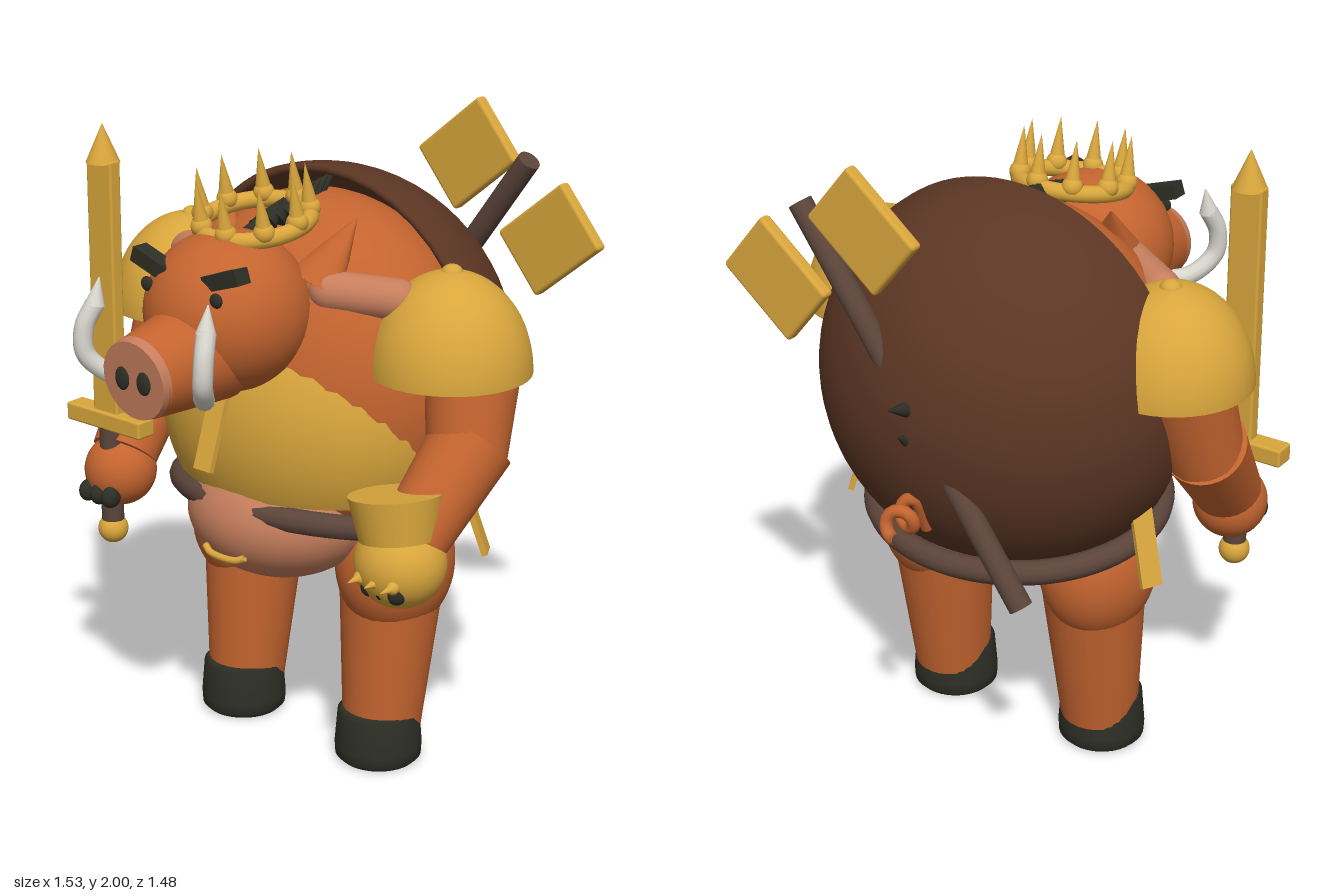
import * as THREE from 'three';
import { RoundedBoxGeometry } from 'three/addons/geometries/RoundedBoxGeometry.js';

const mat = (name, color, side = THREE.FrontSide) => {
  const m = new THREE.MeshStandardMaterial({ color, side });
  m.name = name;
  return m;
};
const V = (x, y, z) => new THREE.Vector3(x, y, z);
const UP = V(0, 1, 0);

export function createModel() {
  const skin = mat('rust skin', 0xc4642f);
  const pink = mat('pink skin', 0xc67e5d);
  const gold = mat('gold', 0xd9a63c, THREE.DoubleSide);
  const hide = mat('dark brown shell', 0x5c3624, THREE.DoubleSide);
  const leather = mat('leather and wood', 0x5b443a);
  const dark = mat('charcoal', 0x2d2e25);
  const ivory = mat('ivory', 0xd8d6cd);
  const model = new THREE.Group();
  model.name = 'boarWarrior';

  const add = (name, geo, material, pos = [0, 0, 0], rot = [0, 0, 0]) => {
    const mesh = new THREE.Mesh(geo, material);
    mesh.name = name;
    mesh.position.set(...pos);
    mesh.rotation.set(...rot);
    model.add(mesh);
    return mesh;
  };
  const ball = (name, material, pos, rx, ry = rx, rz = rx, ...arc) =>
    add(name, new THREE.SphereGeometry(1, 40, 28, ...arc).scale(rx, ry, rz), material, pos);
  // tapered round bar between two points
  const limb = (name, material, a, b, ra, rb, flat = 1) => {
    const p = V(...a), q = V(...b), d = q.clone().sub(p);
    const geo = new THREE.CylinderGeometry(rb, ra, d.length(), 28).scale(1, 1, flat);
    const mesh = add(name, geo, material, p.clone().add(q).multiplyScalar(0.5).toArray());
    mesh.quaternion.setFromUnitVectors(UP, d.normalize());
    return mesh;
  };
  const tube = (name, material, pts, r, closed = false) =>
    add(name, new THREE.TubeGeometry(new THREE.CatmullRomCurve3(pts, closed), closed ? 80 : 32, r, 12, closed), material);

  // torso, chest plate, belly and back shell
  ball('torso', skin, [0, 1.22, -0.08], 0.53, 0.55, 0.42);
  ball('chestPlate', gold, [0, 1.13, -0.04], 0.5, 0.5, 0.415, 0, Math.PI * 2, 0, 2.03);
  ball('belly', pink, [0, 0.81, 0.1], 0.3, 0.21, 0.28);
  // phi from PI to 2PI covers the rear half
  ball('backShell', hide, [0, 1.24, -0.11], 0.6, 0.6, 0.54, Math.PI, Math.PI, 0, 2.44);
  const rim = [];
  for (let i = 0; i <= 20; i++) {
    const a = -0.87 + (i / 20) * (Math.PI + 1.74);
    rim.push(V(Math.cos(a) * 0.585, 1.24 + Math.sin(a) * 0.585, -0.115));
  }
  tube('shellRim', hide, rim, 0.015);
  tube('bellyRing', gold, [V(-0.08, 0.735, 0.36), V(-0.05, 0.722, 0.37), V(0.05, 0.722, 0.37), V(0.08, 0.735, 0.36)], 0.011);

  // tilted belt and three hanging straps
  const belt = [];
  for (let i = 0; i < 24; i++) {
    const a = (i / 24) * Math.PI * 2;
    belt.push(V(Math.cos(a) * 0.46, 0.81 + Math.sin(a) * 0.06, -0.08 + Math.sin(a) * 0.4));
  }
  tube('belt', leather, belt, 0.038, true);
  for (const [name, angle, y, r] of [['front', 0, 1.21, 0.385], ['left', 2.09, 0.9, 0.58], ['right', -2.09, 0.9, 0.58]]) {
    const holder = new THREE.Group();
    holder.name = name + 'Strap';
    holder.rotation.y = angle;
    const strap = add('strapPlate', new THREE.BoxGeometry(0.066, 0.4, 0.018), gold, [0, y, r], [-0.33, 0, 0]);
    holder.add(strap);
    model.add(holder);
    if (angle) holder.position.z = 0.12;
  }

  for (const s of [1, -1]) {
    const side = s > 0 ? 'left' : 'right';
    // leg
    ball(side + 'Thigh', skin, [s * 0.3, 0.65, -0.085], 0.175, 0.23, 0.2);
    limb(side + 'Shin', skin, [s * 0.285, 0.1, -0.045], [s * 0.285, 0.62, -0.09], 0.122, 0.165);
    const hoof = [[0, 0], [0.12, 0], [0.135, 0.015], [0.137, 0.05], [0.128, 0.16], [0.115, 0.172], [0, 0.172]];
    add(side + 'Hoof', new THREE.LatheGeometry(hoof.map(p => new THREE.Vector2(...p)), 36), dark, [s * 0.285, 0, -0.03]);
    // shoulder and arm
    ball(side + 'Pauldron', gold, [s * 0.52, 1.32, -0.05], 0.243, 0.3, 0.245, 0, Math.PI * 2, 0, Math.PI / 2);
    ball(side + 'PauldronStud', gold, [s * 0.515, 1.61, -0.06], 0.033, 0.028, 0.033);
    limb(side + 'UpperArm', skin, [s * 0.57, 1.4, -0.1], [s * 0.62, 1.08, -0.01], 0.15, 0.118);
    ball(side + 'Elbow', skin, [s * 0.62, 1.1, -0.01], 0.118);
    limb(side + 'Forearm', skin, [s * 0.625, 1.13, -0.03], [s * 0.58, 0.87, 0.2], 0.128, 0.105);
    ball(side + 'Hand', skin, [s * 0.58, 0.82, 0.22], 0.115);
    for (const dx of [-0.05, 0, 0.05])
      ball(side + 'Claw', dark, [s * 0.58 + dx, 0.763, 0.315], 0.026, 0.036, 0.035);
    // head details
    const ear = limb(side + 'Ear', skin, [s * 0.19, 1.56, 0.17], [s * 0.245, 1.75, 0.045], 0.1, 0.002, 0.7);
    ear.name = side + 'PointedEar';
    const flap = add(side + 'EarFlap', new THREE.CapsuleGeometry(0.062, 0.2, 8, 24), pink, [s * 0.325, 1.545, 0.11]);
    flap.quaternion.setFromUnitVectors(UP, V(s * 0.22, -0.02, -0.13).normalize());
    add(side + 'Brow', new THREE.BoxGeometry(0.135, 0.046, 0.055), dark, [s * 0.14, 1.64, 0.495], [0, 0, s * 0.32]);
    ball(side + 'Eye', dark, [s * 0.135, 1.585, 0.53], 0.022, 0.022, 0.012);
    ball(side + 'Nostril', dark, [s * 0.042, 1.37, 0.732], 0.026, 0.035, 0.01);
    tube(side + 'Tusk', ivory, [V(s * 0.1, 1.31, 0.56), V(s * 0.18, 1.325, 0.63), V(s * 0.23, 1.39, 0.69),
      V(s * 0.235, 1.47, 0.69), V(s * 0.218, 1.54, 0.66)], 0.029);
    limb(side + 'TuskTip', ivory, [s * 0.218, 1.535, 0.662], [s * 0.213, 1.615, 0.645], 0.03, 0.002);
  }

  // head and snout
  ball('head', skin, [0, 1.49, 0.335], 0.247, 0.24, 0.25);
  limb('snout', skin, [0, 1.4, 0.42], [0, 1.37, 0.71], 0.165, 0.122);
  limb('snoutDisc', pink, [0, 1.372, 0.7], [0, 1.369, 0.73], 0.124, 0.118);

  // crown, tipped forward
  const crown = new THREE.Group();
  crown.name = 'crown';
  crown.position.set(0, 1.735, 0.215);
  crown.rotation.x = 0.17;
  const band = add('crownBand', new THREE.TorusGeometry(0.163, 0.026, 14, 48).rotateX(Math.PI / 2), gold);
  crown.add(band);
  for (let i = 0; i < 9; i++) {
    const a = (i / 9) * Math.PI * 2 + 0.2, x = Math.sin(a) * 0.163, z = Math.cos(a) * 0.163;
    crown.add(ball('crownBead', gold, [x, 0.02, z], 0.032));
    crown.add(add('crownSpike', new THREE.ConeGeometry(0.027, 0.14, 16), gold, [x, 0.09, z]));
  }
  model.add(crown);

  // bristles along the crest and back
  for (let i = 0; i < 11; i++) {
    const z = 0.27 - i * 0.034, y = i < 4 ? 1.69 + i * 0.009 : 1.72 + (i - 4) * 0.007;
    limb('crestBristle', dark, [0, y, z], [0, y + 0.06, z - 0.08], 0.02 + 0.02 * Math.sin(i / 10 * Math.PI), 0.002);
  }
  limb('backBristle', dark, [0, 1.31, -0.61], [0, 1.35, -0.72], 0.03, 0.002);
  limb('backBristle', dark, [0, 1.21, -0.62], [0, 1.25, -0.68], 0.025, 0.002);

  // curly tail
  const curl = [V(0, 0.9, -0.55)];
  for (let i = 0; i <= 14; i++) {
    const a = i * 0.72;
    curl.push(V(Math.sin(a) * 0.036, 0.985 + Math.cos(a) * 0.036 - i * 0.001, -0.61 - i * 0.008));
  }
  tube('tail', skin, curl, 0.02);

  // sword in the right hand
  const sx = -0.58, sz = 0.26;
  add('swordBlade', new RoundedBoxGeometry(0.105, 0.82, 0.045, 2, 0.008), gold, [sx, 1.425, sz]);
  add('swordTip', new THREE.ConeGeometry(0.053, 0.12, 24), gold, [sx, 1.885, sz]);
  add('swordGuard', new RoundedBoxGeometry(0.32, 0.058, 0.072, 2, 0.008), gold, [sx, 1.0, sz]);
  add('swordGrip', new THREE.CylinderGeometry(0.036, 0.036, 0.32, 20), leather, [sx, 0.82, sz]);
  ball('swordPommel', gold, [sx, 0.63, sz], 0.048);

  // gauntlet on the left hand
  limb('gauntletCuff', gold, [0.565, 0.89, 0.235], [0.545, 1.02, 0.225], 0.115, 0.14);
  ball('gauntletFist', gold, [0.57, 0.815, 0.23], 0.138, 0.133, 0.135);
  for (const x of [0.515, 0.575, 0.635]) {
    ball('knuckle', gold, [x, 0.79, 0.345], 0.02);
    limb('knuckleSpike', gold, [x, 0.79, 0.33], [x, 0.79, 0.4], 0.02, 0.001);
  }

  // double-headed axe on the back
  limb('axeHandle', leather, [-0.365, 0.77, -0.597], [0.41, 1.835, -0.57], 0.036, 0.036);
  for (const [x, y] of [[0.16, 1.814], [0.48, 1.594]])
    add('axeBlade', new RoundedBoxGeometry(0.3, 0.235, 0.042, 2, 0.012), gold, [x, y, -0.6], [0, 0, 0.69]);

  return model;
}
